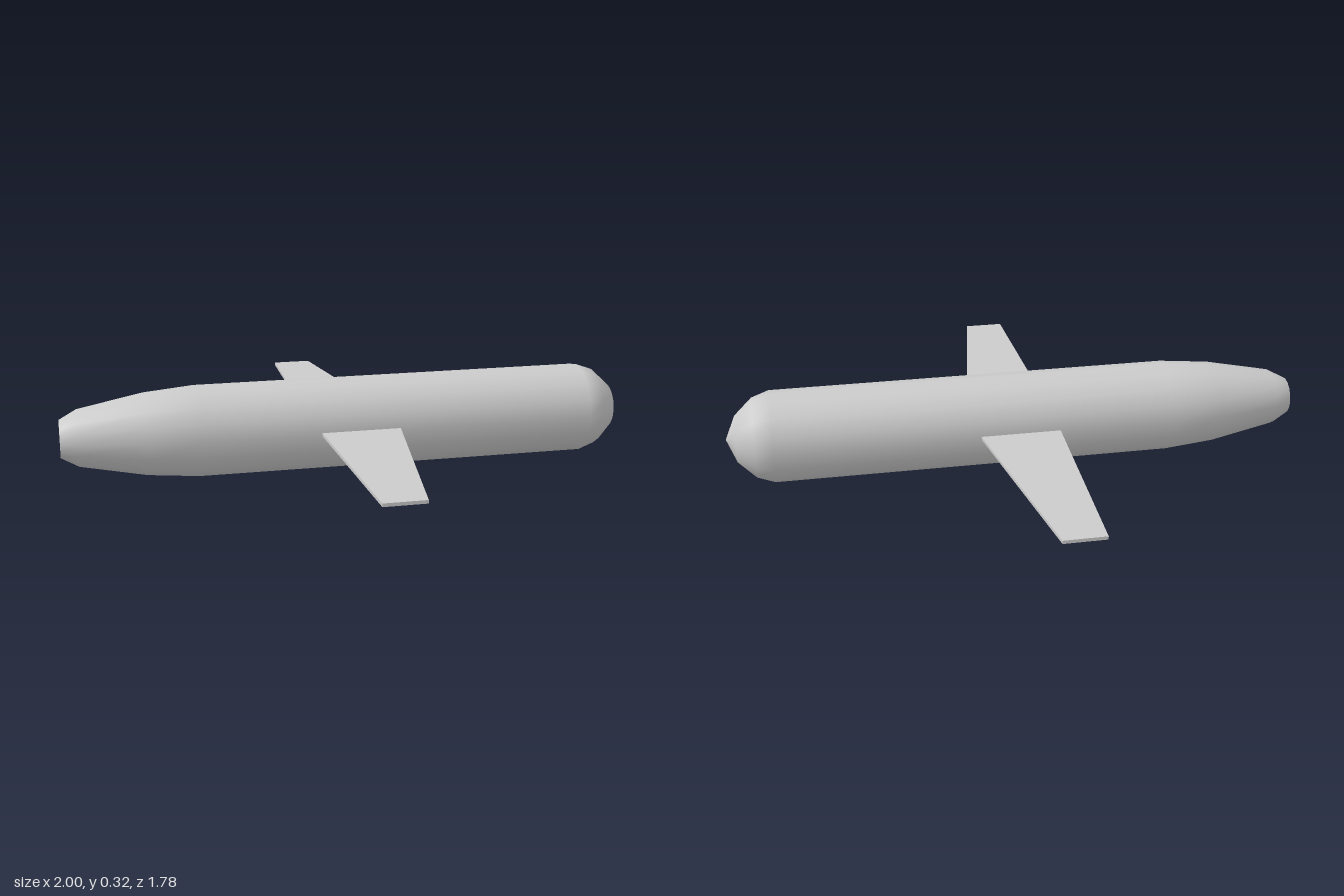
import * as THREE from 'three';

const SIDES = 16;
const AXIS_Y = 0.158;
const WING_THICKNESS = 0.011;

// Fuselage profile, tail to nose: [position along x, radius]
const PROFILE = [
  [-1, 0.065], [-0.94, 0.098], [-0.715, 0.142], [-0.54, 0.158],
  [0.845, 0.158], [0.905, 0.137], [0.966, 0.08], [1, 0],
];

export function createModel() {
  const model = new THREE.Group();
  const material = new THREE.MeshStandardMaterial({ color: 0xcccccc });

  const add = (name, geometry) => {
    const mesh = new THREE.Mesh(geometry, material);
    mesh.name = name;
    mesh.position.y = AXIS_Y;
    model.add(mesh);
  };

  // Round body, turned so that the nose points along +x
  const points = PROFILE.map(([x, r]) => new THREE.Vector2(r, x));
  add('fuselage', new THREE.LatheGeometry(points, SIDES).rotateZ(-Math.PI / 2));

  // Flat disc closing the tail
  const [tailX, tailRadius] = PROFILE[0];
  add('tailCap', new THREE.CircleGeometry(tailRadius, SIDES)
    .rotateY(-Math.PI / 2).translate(tailX, 0, 0));

  // Thin tapered wings, rooted just inside the body
  for (const [name, side] of [['leftWing', -1], ['rightWing', 1]]) {
    const plan = new THREE.Shape([
      new THREE.Vector2(-0.131, side * 0.12),
      new THREE.Vector2(0.151, side * 0.12),
      new THREE.Vector2(0.03, side * 0.89),
      new THREE.Vector2(-0.109, side * 0.89),
    ]);
    add(name, new THREE.ExtrudeGeometry(plan, { depth: WING_THICKNESS, bevelEnabled: false })
      .rotateX(Math.PI / 2).translate(0, WING_THICKNESS / 2 + 0.002, 0));
  }

  return model;
}
